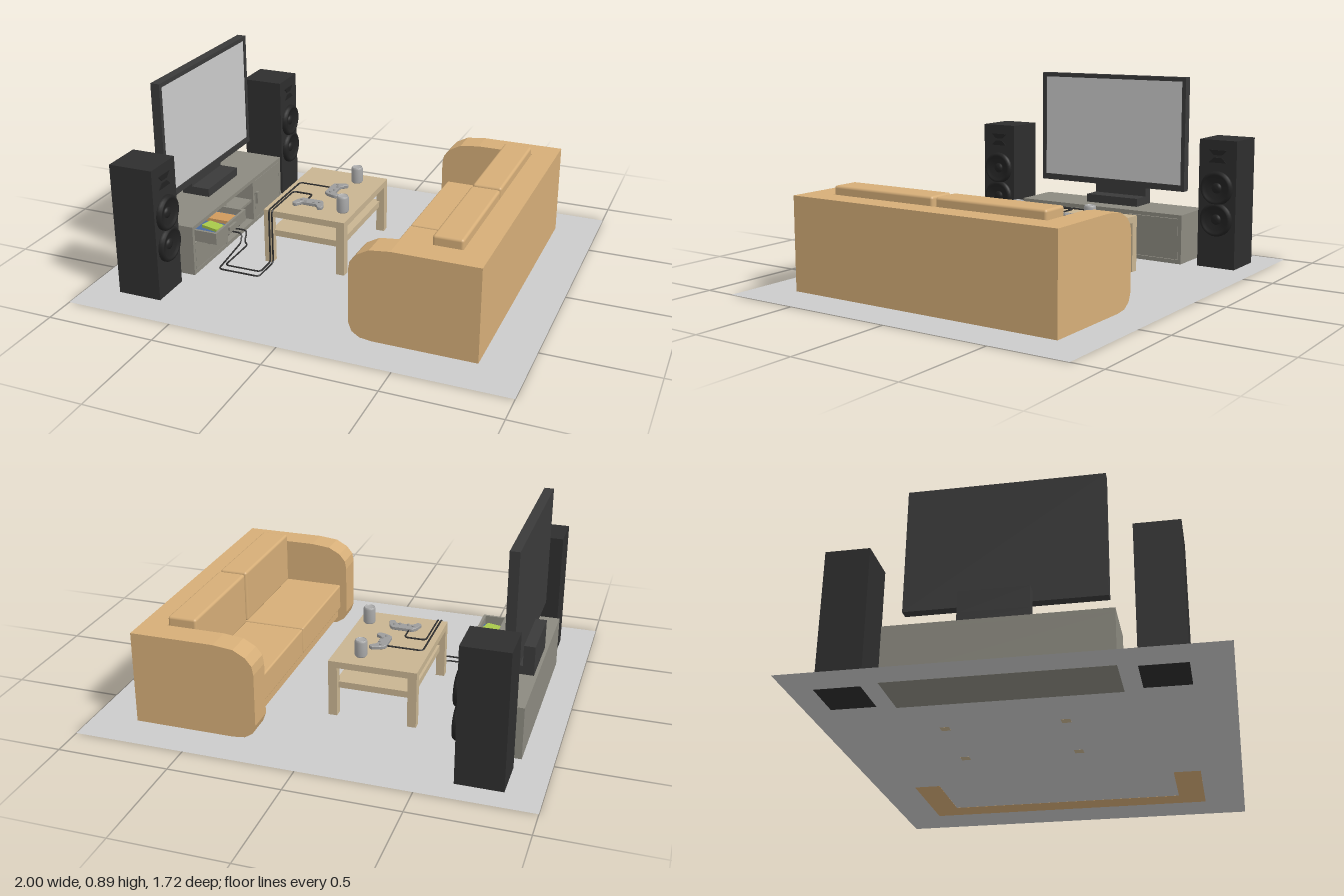
import * as THREE from 'three';
import { RoundedBoxGeometry } from 'three/addons/geometries/RoundedBoxGeometry.js';

const mat = (color, extra = {}) => new THREE.MeshStandardMaterial({ color, ...extra });
const M = {
  floor: mat(0xcccccc, { side: THREE.DoubleSide }),
  sofa: mat(0xd6ae78), wood: mat(0xc8b491), cabinet: mat(0x8c8a80),
  black: mat(0x2e2e2e), rubber: mat(0x222222, { side: THREE.DoubleSide }), frame: mat(0x3a3a3a),
  grey: mat(0xcccccc), metal: mat(0xaaaaaa), pad: mat(0x9c9c9c),
  orange: mat(0xd09a5c), blue: mat(0x4a6a9c), green: mat(0xa8c84a),
};

function add(parent, name, geometry, material) {
  const mesh = new THREE.Mesh(geometry, material);
  mesh.name = name;
  parent.add(mesh);
  return mesh;
}

function group(parent, name) {
  const g = new THREE.Group();
  g.name = name;
  parent.add(g);
  return g;
}

// Box given by its limits on each axis; r rounds the edges
function box(parent, name, material, [x0, x1], [y0, y1], [z0, z1], r = 0) {
  const size = [x1 - x0, y1 - y0, z1 - z0];
  const geo = r ? new RoundedBoxGeometry(...size, 2, r) : new THREE.BoxGeometry(...size);
  const mesh = add(parent, name, geo, material);
  mesh.position.set((x0 + x1) / 2, (y0 + y1) / 2, (z0 + z1) / 2);
  return mesh;
}

// Tube along straight runs with rounded corners
function cable(parent, name, points, bend = 0.02) {
  const p = points.map(a => new THREE.Vector3(...a));
  const path = new THREE.CurvePath();
  let from = p[0];
  for (let i = 1; i < p.length - 1; i++) {
    const toward = q => p[i].clone().add(q.clone().sub(p[i])
      .setLength(Math.min(bend, p[i].distanceTo(q) * 0.45)));
    const a = toward(p[i - 1]), b = toward(p[i + 1]);
    path.add(new THREE.LineCurve3(from, a));
    path.add(new THREE.QuadraticBezierCurve3(a, p[i], b));
    from = b;
  }
  path.add(new THREE.LineCurve3(from, p[p.length - 1]));
  add(parent, name, new THREE.TubeGeometry(path, 240, 0.004, 6), M.black);
}

function speaker(parent, name, z) {
  const g = group(parent, name);
  box(g, 'speakerCase', M.black, [-0.845, -0.64], [0, 0.612], [z - 0.095, z + 0.095]);
  const profile = [[0.08, 0], [0.08, 0.013], [0.074, 0.022], [0.064, 0.022], [0.058, 0.014],
    [0.05, 0.016], [0.026, 0.004], [0.024, 0.01], [0.012, 0.015], [0, 0.016]]
    .map(([r, h]) => new THREE.Vector2(r, h));
  for (const y of [0.385, 0.235]) {
    const cone = add(g, 'woofer', new THREE.LatheGeometry(profile, 32), M.rubber);
    cone.rotation.z = -Math.PI / 2;
    cone.position.set(-0.64, y, z);
  }
  // Bow-tie horn
  for (const s of [1, -1]) {
    const horn = new THREE.Shape([[-0.045, 0.03], [0.045, 0.03], [0.02, 0.006], [-0.02, 0.006]]
      .map(([a, b]) => new THREE.Vector2(a, b * s)));
    const m = add(g, 'tweeterHorn', new THREE.ExtrudeGeometry(horn, { depth: 0.004, bevelEnabled: false }), M.rubber);
    m.rotation.y = Math.PI / 2;
    m.position.set(-0.64, 0.535, z);
  }
}

function television(parent) {
  const g = group(parent, 'television');
  const z = [-0.425, 0.4], y = [0.33, 0.89], lip = [-0.766, -0.757];
  box(g, 'televisionBody', M.frame, [-0.8, -0.766], y, z);
  box(g, 'screen', M.grey, [-0.766, -0.762], [0.36, 0.87], [-0.405, 0.38]);
  box(g, 'topBezel', M.frame, lip, [0.87, 0.89], z);
  box(g, 'bottomBezel', M.frame, lip, [0.33, 0.36], z);
  box(g, 'sideBezel', M.frame, lip, y, [0.38, 0.4]);
  box(g, 'sideBezel', M.frame, lip, y, [-0.425, -0.405]);
  box(g, 'televisionFoot', M.frame, [-0.85, -0.71], [0.24, 0.28], [-0.19, 0.1]);
  box(g, 'televisionNeck', M.frame, [-0.85, -0.8], [0.28, 0.375], [-0.19, 0.1]);
}

function cabinet(parent) {
  const g = group(parent, 'mediaCabinet');
  const x = [-0.865, -0.615], z = [-0.485, 0.43], m = M.cabinet;
  box(g, 'cabinetTop', m, x, [0.222, 0.24], z);
  box(g, 'cabinetBottom', m, x, [0, 0.02], z);
  box(g, 'cabinetBack', m, [-0.865, -0.85], [0.02, 0.222], z);
  for (const c of [-0.476, -0.18, 0.115, 0.421])
    box(g, 'cabinetUpright', m, x, [0.02, 0.222], [c - 0.009, c + 0.009]);
  box(g, 'middleShelf', m, [-0.85, -0.625], [0.115, 0.128], [-0.171, 0.106]);
  box(g, 'gameConsole', M.black, [-0.82, -0.65], [0.02, 0.065], [-0.1, 0.07]);
  box(g, 'cabinetDoor', m, [-0.63, -0.615], [0.022, 0.22], [-0.466, -0.19]);
  box(g, 'doorHandle', m, [-0.615, -0.602], [0.1, 0.16], [-0.215, -0.195]);
  box(g, 'lowerDrawerFront', m, [-0.63, -0.615], [0.022, 0.155], [0.126, 0.41]);
  box(g, 'lowerDrawerHandle', m, [-0.615, -0.602], [0.1, 0.115], [0.235, 0.3]);

  // Drawer pulled open, holding game cases
  const d = group(g, 'openDrawer'), dy = [0.168, 0.22];
  box(d, 'drawerFloor', m, [-0.8, -0.505], [0.165, 0.175], [0.125, 0.41]);
  box(d, 'drawerFront', m, [-0.517, -0.505], dy, [0.122, 0.412]);
  for (const c of [0.13, 0.404]) box(d, 'drawerSide', m, [-0.8, -0.517], dy, [c - 0.006, c + 0.006]);
  box(d, 'drawerHandle', m, [-0.505, -0.494], [0.188, 0.205], [0.233, 0.3]);
  box(d, 'orangeCase', M.orange, [-0.65, -0.519], [0.175, 0.207], [0.172, 0.248]);
  box(d, 'blueCase', M.blue, [-0.65, -0.519], [0.175, 0.195], [0.255, 0.36]);
  box(d, 'blueCase', M.blue, [-0.65, -0.519], [0.175, 0.19], [0.138, 0.168]);
  const top = box(d, 'greenCase', M.green, [-0.62, -0.53], [0.195, 0.208], [0.28, 0.338]);
  top.rotation.y = -0.25;
}

function table(parent) {
  const g = group(parent, 'coffeeTable');
  box(g, 'tableTop', M.wood, [-0.38, 0.02], [0.235, 0.265], [-0.37, 0.18]);
  box(g, 'tableShelf', M.wood, [-0.355, -0.005], [0.128, 0.158], [-0.345, 0.155]);
  for (const x of [-0.38, -0.02]) for (const z of [-0.37, 0.14])
    box(g, 'tableLeg', M.wood, [x, x + 0.04], [0, 0.235], [z, z + 0.04]);

  // Drink cans
  const can = [[0, 0.003], [0.022, 0.003], [0.023, 0], [0.028, 0.007], [0.028, 0.071],
    [0.024, 0.08], [0.022, 0.08], [0.021, 0.076], [0, 0.076]].map(([r, h]) => new THREE.Vector2(r, h));
  for (const [x, z] of [[-0.102, -0.28], [-0.034, 0.065]])
    add(g, 'drinkCan', new THREE.LatheGeometry(can, 20), M.metal).position.set(x, 0.265, z);
}

// Two-grip gamepad; its cable side faces -z before turning
function gamepad(parent, x, z, turn) {
  const s = new THREE.Shape();
  s.moveTo(-0.045, 0.035);
  s.lineTo(0.045, 0.035);
  s.quadraticCurveTo(0.062, 0.03, 0.074, -0.02);
  s.quadraticCurveTo(0.072, -0.038, 0.054, -0.034);
  s.quadraticCurveTo(0.042, -0.01, 0.03, -0.008);
  s.lineTo(-0.03, -0.008);
  s.quadraticCurveTo(-0.042, -0.01, -0.054, -0.034);
  s.quadraticCurveTo(-0.072, -0.038, -0.074, -0.02);
  s.quadraticCurveTo(-0.062, 0.03, -0.045, 0.035);
  const g = group(parent, 'gamepad');
  const geo = new THREE.ExtrudeGeometry(s, { depth: 0.012, bevelSize: 0.002, bevelThickness: 0.002, bevelSegments: 1, curveSegments: 6 });
  add(g, 'gamepadBody', geo.rotateX(-Math.PI / 2), M.pad).position.y = 0.002;
  for (const [a, b] of [[-0.02, 0], [0.02, 0], [0.045, -0.01], [-0.045, -0.01]])
    add(g, 'gamepadStick', new THREE.CylinderGeometry(0.006, 0.006, 0.006, 10), M.pad).position.set(a, 0.018, b);
  g.position.set(x, 0.265, z);
  g.rotation.y = turn;
}

function sofa(parent) {
  const g = group(parent, 'sofa');
  const arm = new THREE.Shape([[0.8, 0], [0.8, 0.425], [0.42, 0.425], [0.33, 0.415], [0.275, 0.385], [0.247, 0.35],
    [0.24, 0.31], [0.24, 0.07], [0.255, 0.03], [0.29, 0.007], [0.35, 0]].map(p => new THREE.Vector2(...p)));
  for (const [z0, z1] of [[-0.68, -0.56], [0.547, 0.67]])
    add(g, 'armrest', new THREE.ExtrudeGeometry(arm, { depth: z1 - z0, bevelEnabled: false }), M.sofa).position.z = z0;
  box(g, 'backrest', M.sofa, [0.685, 0.8], [0, 0.425], [-0.56, 0.547]);
  box(g, 'seatBase', M.sofa, [0.285, 0.685], [0.04, 0.1], [-0.56, 0.547]);
  for (const [z0, z1] of [[-0.558, -0.011], [-0.003, 0.545]]) {
    box(g, 'seatCushion', M.sofa, [0.27, 0.685], [0.09, 0.22], [z0, z1], 0.008);
    box(g, 'backCushion', M.sofa, [0.552, 0.684], [0.215, 0.465], [z0 + 0.004, z1 - 0.004], 0.012);
  }
}

export function createModel() {
  const model = new THREE.Group();
  model.name = 'livingRoom';

  const floor = add(model, 'floor', new THREE.PlaneGeometry(2, 1.716).rotateX(-Math.PI / 2), M.floor);
  floor.position.y = 0.0005;

  speaker(model, 'rightSpeaker', -0.655);
  speaker(model, 'leftSpeaker', 0.6);
  television(model);
  cabinet(model);
  table(model);
  sofa(model);
  gamepad(model, -0.15, -0.132, Math.PI / 2);
  gamepad(model, -0.204, 0.056, 0);

  // Gamepad cables: console, floor, table edge, gamepad
  cable(model, 'gamepadCable', [[-0.66, 0.045, 0], [-0.565, 0.045, 0], [-0.56, 0.005, 0.04], [-0.53, 0.005, 0.07],
    [-0.53, 0.005, 0.295], [-0.35, 0.005, 0.295], [-0.35, 0.005, 0.188], [-0.35, 0.27, 0.188], [-0.35, 0.27, -0.16], [-0.18, 0.27, -0.16]]);
  cable(model, 'gamepadCable', [[-0.66, 0.045, 0.036], [-0.575, 0.045, 0.036], [-0.57, 0.005, 0.06],
    [-0.54, 0.005, 0.34], [-0.335, 0.005, 0.34], [-0.335, 0.005, 0.188], [-0.335, 0.27, 0.188],
    [-0.335, 0.27, -0.05], [-0.235, 0.27, -0.05], [-0.235, 0.27, 0.025]]);
  return model;
}
